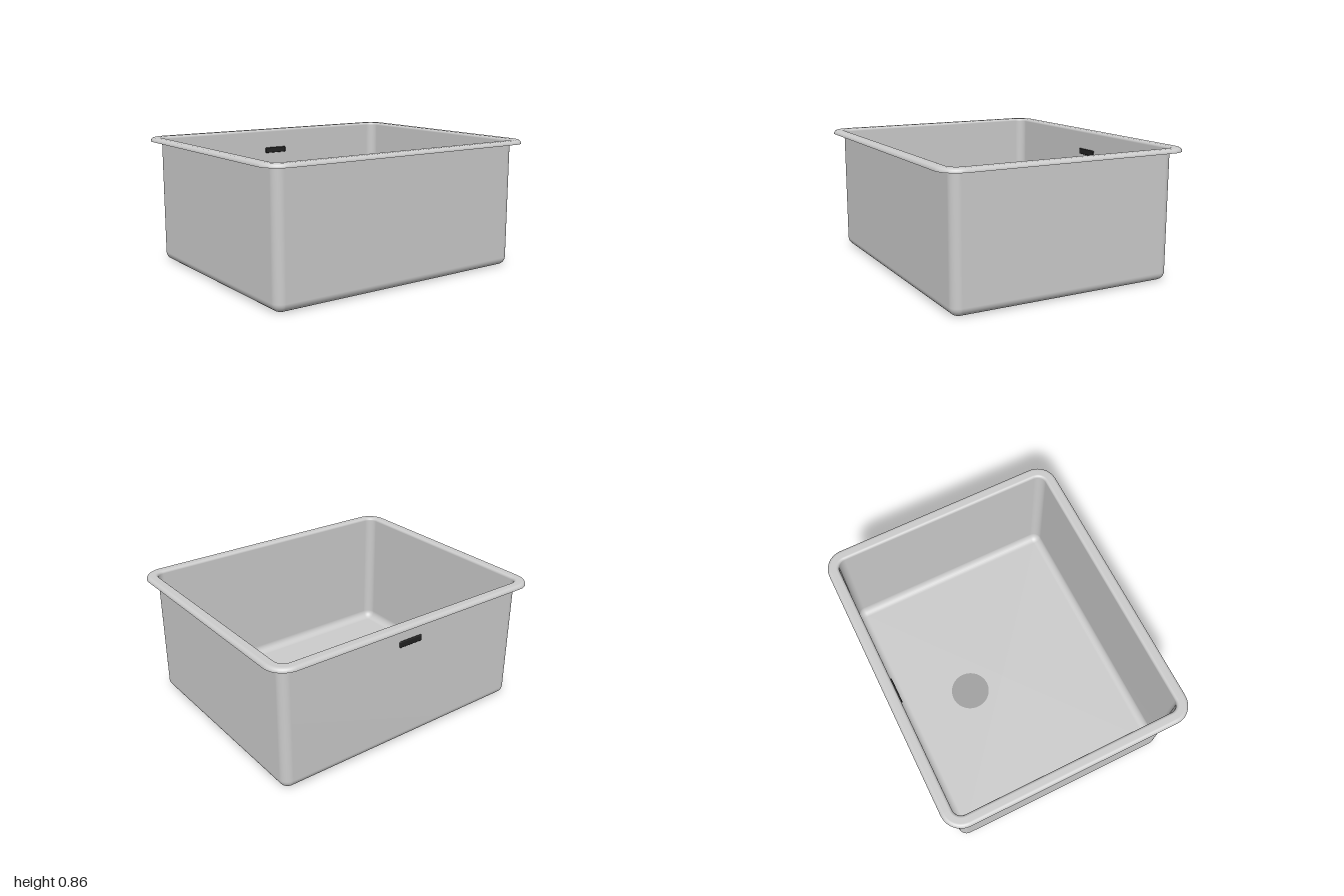
import * as THREE from 'three';
import { RoundedBoxGeometry } from 'three/addons/geometries/RoundedBoxGeometry.js';

const HX = 0.925, HZ = 0.758; // half sizes of the bowl walls
const CORNER_STEPS = 10;

// Rounded rectangle loop, grown outwards from the bowl wall by `grow`
function loopPoints(grow, y) {
  const r = 0.06 + grow, cx = HX - 0.06, cz = HZ - 0.06;
  const points = [];
  for (let q = 0; q < 4; q++) {
    const sx = q === 0 || q === 3 ? 1 : -1, sz = q < 2 ? 1 : -1;
    for (let i = 0; i <= CORNER_STEPS; i++) {
      const a = (q + i / CORNER_STEPS) * Math.PI / 2;
      points.push(sx * cx + r * Math.cos(a), y, sz * cz + r * Math.sin(a));
    }
  }
  return points;
}

// Quarter arc in (grow, y)
function arc(cx, cy, r, from, to, steps = 8) {
  return Array.from({ length: steps + 1 }, (_, i) => {
    const a = THREE.MathUtils.lerp(from, to, i / steps);
    return [cx + r * Math.cos(a), cy + r * Math.sin(a)];
  });
}

// Skin a run of loops, optionally closed with a flat middle
function skin(profile, closeEnd) {
  const n = 4 * (CORNER_STEPS + 1);
  const positions = profile.flatMap(([grow, y]) => loopPoints(grow, y));
  const index = [];
  for (let k = 0; k < profile.length - 1; k++) {
    for (let i = 0; i < n; i++) {
      const j = (i + 1) % n, a = k * n + i, b = k * n + j;
      index.push(a, a + n, b, b, a + n, b + n);
    }
  }
  if (closeEnd) {
    const last = (profile.length - 1) * n, centre = profile.length * n;
    positions.push(0, profile[profile.length - 1][1], 0);
    for (let i = 0; i < n; i++) index.push(last + i, centre, last + (i + 1) % n);
  }
  const geometry = new THREE.BufferGeometry();
  geometry.setAttribute('position', new THREE.Float32BufferAttribute(positions, 3));
  geometry.setIndex(index);
  geometry.computeVertexNormals();
  return geometry;
}

export function createModel() {
  const model = new THREE.Group();
  model.name = 'sink';
  const steel = new THREE.MeshStandardMaterial({ color: 0xcccccc, side: THREE.DoubleSide });
  const add = (name, geometry, material) => {
    const mesh = new THREE.Mesh(geometry, material);
    mesh.name = name;
    model.add(mesh);
    return mesh;
  };
  const P = Math.PI;

  // Pressed sheet: curled rim, straight walls, rounded foot and flat floor
  add('bowl', skin([
    ...arc(0.05, 0.83, 0.025, 0, P / 2),
    ...arc(0.018, 0.837, 0.018, P / 2, P),
    ...arc(-0.055, 0.055, 0.055, 0, -P / 2),
  ], true), steel);

  // Drain cover on the floor
  const drain = add('drain', new THREE.CircleGeometry(0.134, 64),
    new THREE.MeshStandardMaterial({ color: 0xa0a0a0 }));
  drain.rotation.x = -P / 2;
  drain.position.set(0, 0.003, -0.26);

  // Overflow slot through the back wall
  const slot = add('overflowSlot', new RoundedBoxGeometry(0.17, 0.04, 0.02, 3, 0.006),
    new THREE.MeshStandardMaterial({ color: 0x222222 }));
  slot.position.set(0, 0.7, -HZ);

  return model;
}
